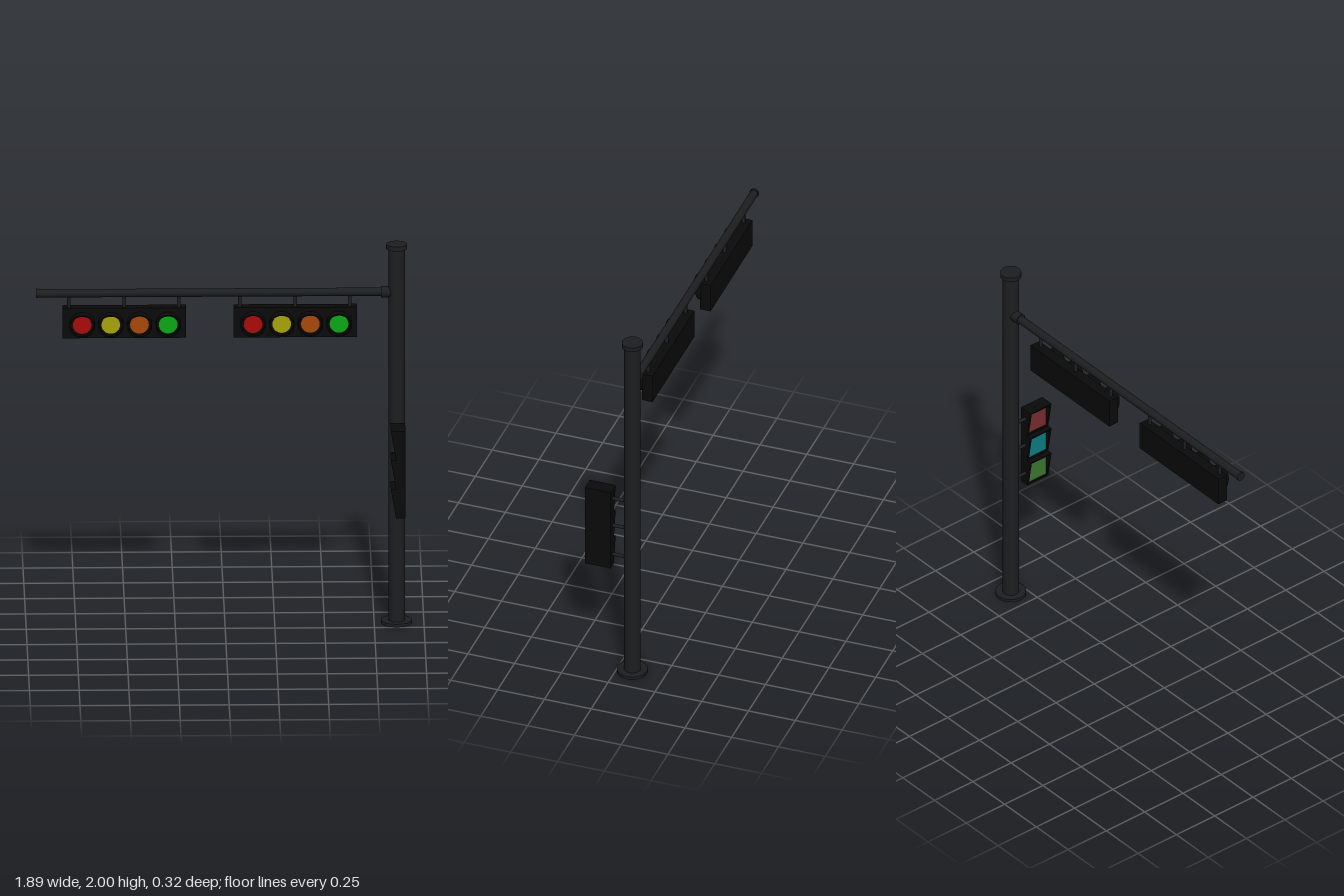
import * as THREE from 'three';
import { toCreasedNormals } from 'three/addons/utils/BufferGeometryUtils.js';

const paint = (color) => new THREE.MeshStandardMaterial({ color });
const poleMat = paint(0x1d1e20);
const housingMat = paint(0x0a0a0a);

const POLE_X = 0.863, POLE_Z = -0.08, ARM_Y = 1.748;

function add(parent, name, geometry, material, x = 0, y = 0, z = 0) {
  const mesh = new THREE.Mesh(geometry, material);
  mesh.name = name;
  mesh.position.set(x, y, z);
  parent.add(mesh);
  return mesh;
}

const cylinder = (r, h, sides = 32) => new THREE.CylinderGeometry(r, r, h, sides);

// Hollow hood along +z whose front rim slopes back towards the bottom
function hood(outer, inner, depth, slope) {
  outer.holes.push(inner);
  const geo = new THREE.ExtrudeGeometry(outer, { depth: 1, bevelEnabled: false, curveSegments: 20 });
  const p = geo.attributes.position;
  for (let i = 0; i < p.count; i++) {
    p.setZ(i, p.getZ(i) > 0.5 ? depth + slope * p.getY(i) : 0);
  }
  geo.computeVertexNormals();
  return toCreasedNormals(geo, 0.6);
}

const circle = (r) => new THREE.Shape().absarc(0, 0, r, 0, Math.PI * 2);

function rect(w, h) {
  return new THREE.Shape([[-1, -1], [1, -1], [1, 1], [-1, 1]]
    .map(([a, b]) => new THREE.Vector2(a * w / 2, b * h / 2)));
}

// Horizontal four-lamp signal hung below the arm
function trafficSignal(x) {
  const g = new THREE.Group();
  g.name = 'trafficSignal';
  g.position.set(x, 1.595, POLE_Z);
  add(g, 'signalHousing', new THREE.BoxGeometry(0.62, 0.157, 0.056), housingMat, 0, 0, -0.008);
  const visorGeo = hood(circle(0.064), circle(0.057), 0.038, 0.27);
  [0xaa0a0a, 0xa8a40a, 0xa8480a, 0x0aa814].forEach((color, i) => {
    const lx = 0.004 + (i - 1.5) * 0.144;
    add(g, 'lampVisor', visorGeo, housingMat, lx, -0.006, 0.019);
    add(g, 'lampLens', cylinder(0.047, 0.01), paint(color), lx, -0.006, 0.022).rotation.x = Math.PI / 2;
  });
  for (const bx of [-0.278, 0, 0.274]) {
    add(g, 'hanger', cylinder(0.009, 0.08, 16), poleMat, bx, 0.11, 0);
  }
  return g;
}

// Vertical three-lamp signal beside the pole, facing -x
function pedestrianSignal() {
  const g = new THREE.Group();
  g.name = 'pedestrianSignal';
  g.position.set(0.883, 0.857, 0.09);
  g.rotation.y = -Math.PI / 2;
  add(g, 'pedestrianHousing', new THREE.BoxGeometry(0.138, 0.46, 0.042), housingMat);
  const visorGeo = hood(rect(0.138, 0.153), rect(0.118, 0.133), 0.019, 0.17);
  [0x782e2e, 0x0a8084, 0x3c7832].forEach((color, i) => {
    const y = (1 - i) * 0.1533;
    add(g, 'pedestrianVisor', visorGeo, housingMat, 0, y, 0.021);
    add(g, 'pedestrianLens', new THREE.BoxGeometry(0.112, 0.127, 0.004), paint(color), 0, y, 0.022);
  });
  return g;
}

export function createModel() {
  const model = new THREE.Group();
  model.name = 'trafficLight';

  // Pole with foot plate and cap
  add(model, 'pole', cylinder(0.042, 1.99), poleMat, POLE_X, 0.995, POLE_Z);
  add(model, 'basePlate', cylinder(0.078, 0.016), poleMat, POLE_X, 0.008, POLE_Z);
  add(model, 'poleCap', cylinder(0.053, 0.024), poleMat, POLE_X, 1.988, POLE_Z);

  // Arm with end cap and collar at the pole: radius, start x, end x
  for (const [name, r, x0, x1] of [
    ['arm', 0.021, -0.945, 0.85],
    ['armEndCap', 0.024, -0.95, -0.938],
    ['armCollar', 0.029, 0.785, 0.84],
  ]) {
    add(model, name, cylinder(r, x1 - x0), poleMat, (x0 + x1) / 2, ARM_Y, POLE_Z).rotation.z = Math.PI / 2;
  }

  for (const x of [-0.506, 0.353]) model.add(trafficSignal(x));

  // Pedestrian signal and its brackets
  model.add(pedestrianSignal());
  for (const y of [1.034, 0.87, 0.695]) {
    add(model, 'pedestrianBracket', cylinder(0.009, 0.08, 16), poleMat, 0.872, y, -0.01).rotation.x = Math.PI / 2;
  }
  return model;
}
